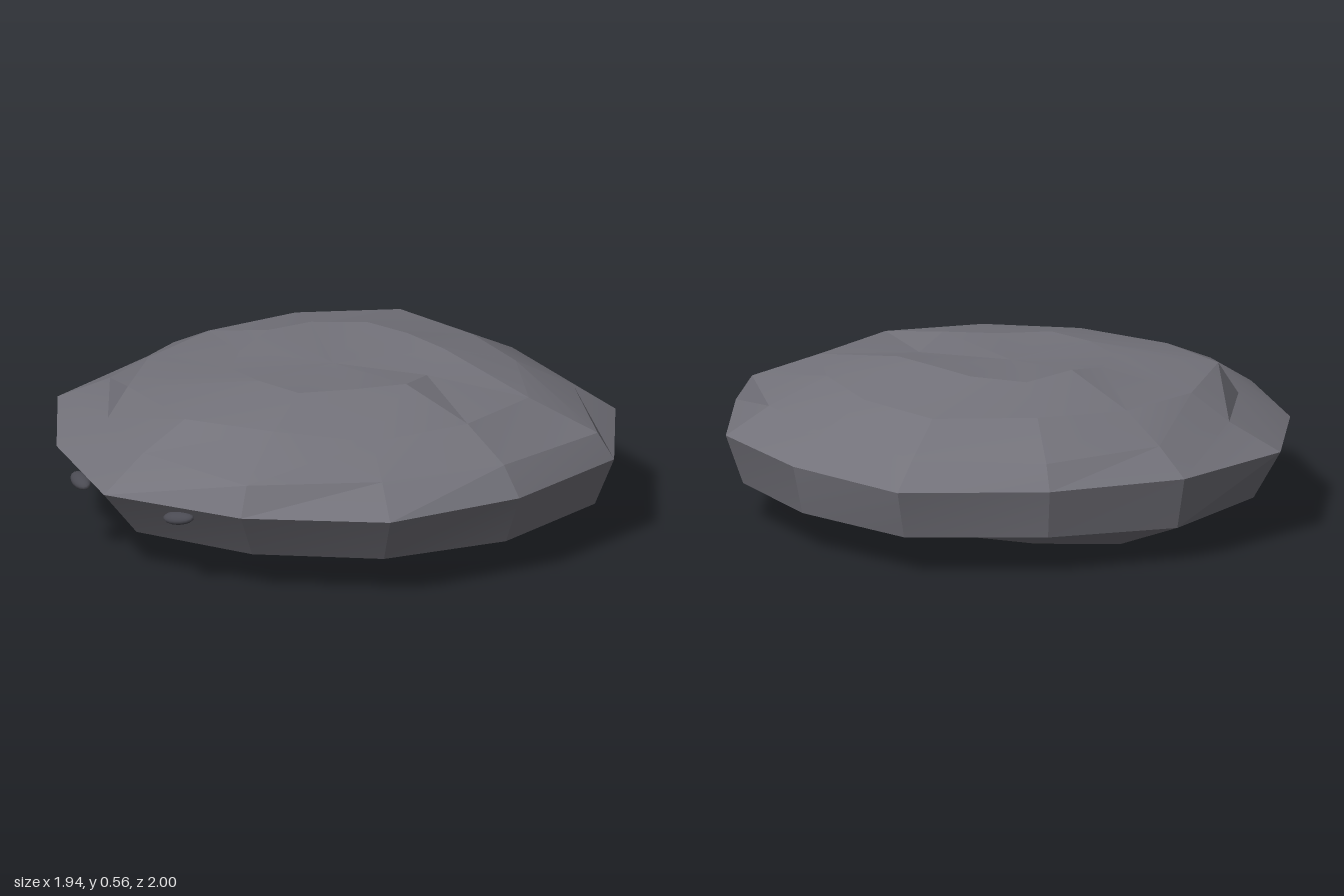
import * as THREE from 'three';
import { toCreasedNormals } from 'three/addons/utils/BufferGeometryUtils.js';

const SIDES = 12;
const AXIS_Z = -0.05;

// Each ring: radii and heights on 12 meridians, from the front round by the left (+x).
// A single height applies to the whole ring.
const RINGS = [
  // underside bulge, deepest at the back and right
  { r: [0.62, 0.6, 0.6, 0.6, 0.56, 0.56, 0.55, 0.55, 0.6, 0.61, 0.6, 0.62],
    y: [0.13, 0.13, 0.125, 0.09, 0.07, 0.015, 0.02, 0.04, 0.03, 0, 0.07, 0.12] },
  // lower rim
  { r: [0.9, 0.87, 0.89, 0.9, 0.95, 0.93, 0.91, 0.98, 0.92, 0.93, 0.9, 0.83],
    y: [0.13, 0.13, 0.13, 0.125, 0.13, 0.13, 0.13, 0.13, 0.13, 0.12, 0.13, 0.145] },
  // widest rim
  { r: [1.05, 0.99, 1, 0.97, 1.02, 0.99, 0.95, 1.04, 0.96, 0.97, 1, 0.97], y: 0.3 },
  // shoulder
  { r: [0.87, 0.93, 0.86, 0.89, 0.96, 0.84, 0.82, 0.9, 0.88, 0.83, 0.81, 0.79],
    y: [0.41, 0.4, 0.4, 0.4, 0.39, 0.4, 0.4, 0.39, 0.38, 0.39, 0.39, 0.39] },
  // upper slope
  { r: [0.68, 0.64, 0.7, 0.7, 0.71, 0.64, 0.64, 0.72, 0.66, 0.65, 0.67, 0.72],
    y: [0.49, 0.5, 0.49, 0.5, 0.49, 0.5, 0.49, 0.49, 0.49, 0.48, 0.48, 0.5] },
  // crown
  { r: [0.34, 0.37, 0.32, 0.38, 0.34, 0.39, 0.34, 0.37, 0.39, 0.34, 0.34, 0.36],
    y: [0.55, 0.55, 0.55, 0.56, 0.53, 0.56, 0.565, 0.56, 0.55, 0.565, 0.54, 0.54] },
];

function bodyGeometry() {
  const points = [];
  const faces = [];
  for (const ring of RINGS) {
    for (let i = 0; i < SIDES; i++) {
      const a = (i / SIDES) * Math.PI * 2;
      const y = Array.isArray(ring.y) ? ring.y[i] : ring.y;
      points.push(Math.sin(a) * ring.r[i], y, Math.cos(a) * ring.r[i] + AXIS_Z);
    }
  }
  const bottom = points.length / 3;
  const top = bottom + 1;
  points.push(0, 0.06, AXIS_Z, 0, 0.535, AXIS_Z);

  const last = (RINGS.length - 1) * SIDES;
  for (let i = 0; i < SIDES; i++) {
    const j = (i + 1) % SIDES;
    faces.push(bottom, j, i, top, last + i, last + j);
    for (let k = 0; k < last; k += SIDES) {
      faces.push(k + i, k + j, k + SIDES + j, k + i, k + SIDES + j, k + SIDES + i);
    }
  }
  const geometry = new THREE.BufferGeometry();
  geometry.setAttribute('position', new THREE.Float32BufferAttribute(points, 3));
  geometry.setIndex(faces);
  return toCreasedNormals(geometry, 0.2);
}

export function createModel() {
  const model = new THREE.Group();
  model.name = 'rockCreature';

  // Faceted, flattened stone body
  const body = new THREE.Mesh(bodyGeometry(), new THREE.MeshStandardMaterial({ color: 0x73727a }));
  body.name = 'stoneBody';
  model.add(body);

  // Small flattened eyes set into the overhanging front wall
  const eyeGeometry = new THREE.SphereGeometry(1, 16, 10);
  const eyeMaterial = new THREE.MeshStandardMaterial({ color: 0x4a4a52 });
  for (const side of [-1, 1]) {
    const eye = new THREE.Mesh(eyeGeometry, eyeMaterial);
    eye.name = side > 0 ? 'leftEye' : 'rightEye';
    eye.scale.set(0.06, 0.02, 0.03);
    eye.position.set(side * 0.255, 0.257, 0.882);
    eye.rotation.set(0.4, side * 0.35, 0);
    model.add(eye);
  }
  return model;
}
